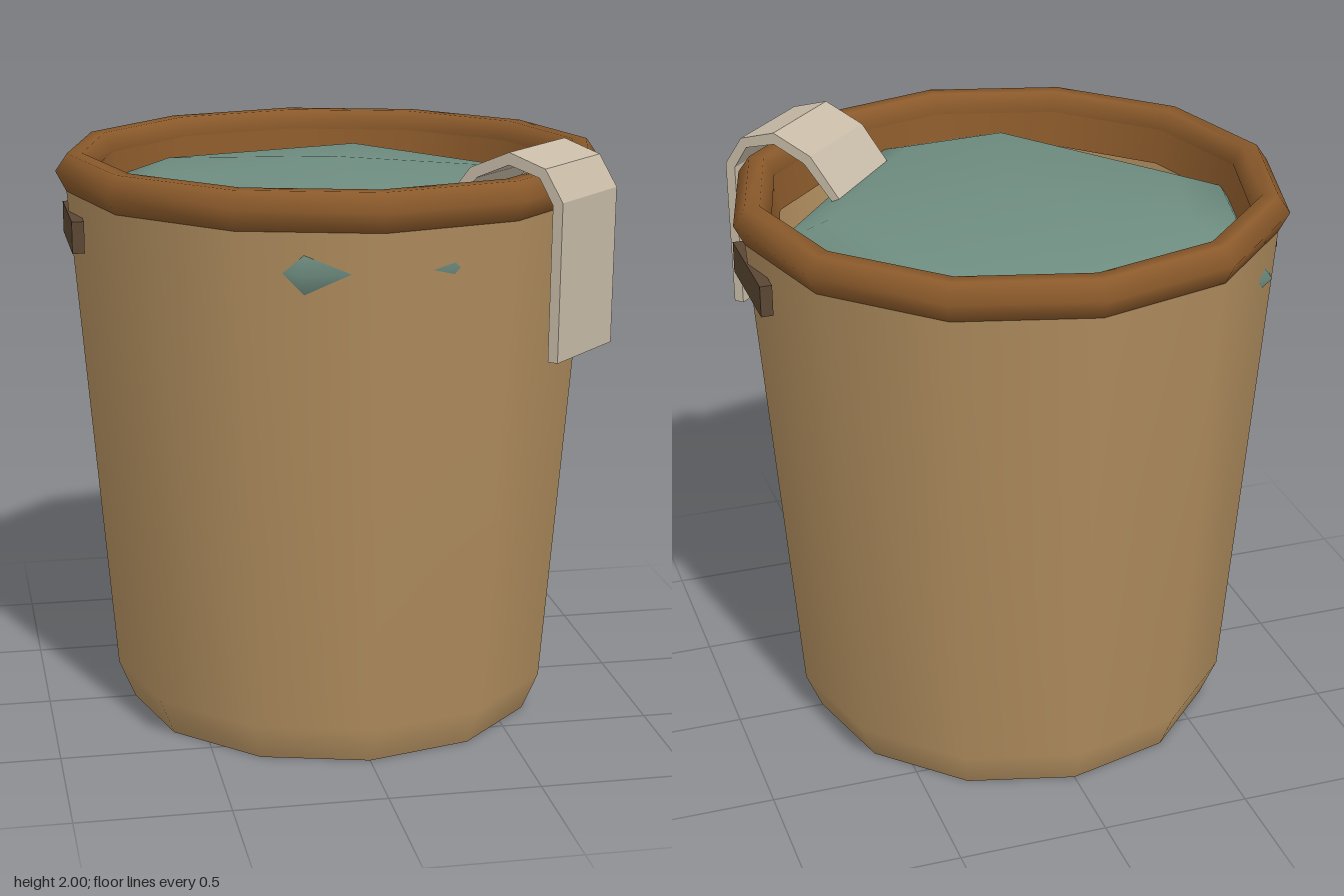
import * as THREE from 'three';
import { mergeVertices } from 'three/addons/utils/BufferGeometryUtils.js';

const SIDES = 12;

function material(name, color, side = THREE.FrontSide) {
  const m = new THREE.MeshStandardMaterial({ color, side });
  m.name = name;
  return m;
}

function lathe(points) {
  return new THREE.LatheGeometry(points.map(([r, y]) => new THREE.Vector2(r, y)), SIDES);
}

// Lumpy cushion of cloth: one uneven outline, scaled ring by ring
function clothGeometry() {
  const outline = [[0.87, 0.03], [0.24, 0.83], [-0.25, 0.865], [-0.86, 0.06], [-0.725, -0.515], [0.26, -0.79]];
  const rings = [[0, 1.89], [0.7, 1.84], [0.91, 1.77], [1, 1.67], [0.9, 1.56], [0.65, 1.48], [0, 1.44]];
  const n = outline.length;
  const positions = [];
  const index = [];
  rings.forEach(([s, y]) => outline.forEach(([x, z]) => positions.push(x * s, y, z * s)));
  for (let k = 0; k < rings.length - 1; k++) {
    for (let i = 0; i < n; i++) {
      const a = k * n + i, b = k * n + (i + 1) % n, c = a + n, d = b + n;
      if (k > 0) index.push(a, b, c);
      if (k < rings.length - 2) index.push(b, d, c);
      else index.splice(index.length, 0);
    }
  }
  const g = new THREE.BufferGeometry();
  g.setAttribute('position', new THREE.Float32BufferAttribute(positions, 3));
  g.setIndex(index);
  const merged = mergeVertices(g);
  merged.computeVertexNormals();
  return merged;
}

// Folded strip draped over the rim, profile in radius and height
function towelGeometry() {
  const outer = [[0.98, 1.35], [0.985, 1.86], [0.92, 1.96], [0.79, 2.0], [0.65, 1.94], [0.53, 1.79]];
  const inner = [[0.56, 1.78], [0.675, 1.91], [0.79, 1.96], [0.9, 1.93], [0.95, 1.85], [0.945, 1.35]];
  const shape = new THREE.Shape([...outer, ...inner].map(([r, y]) => new THREE.Vector2(r, y)));
  const width = 0.35;
  const g = new THREE.ExtrudeGeometry(shape, { depth: width, bevelEnabled: false });
  g.translate(0, 0, -width / 2);
  return g;
}

export function createModel() {
  const group = new THREE.Group();
  const wall = material('tan wall', 0xb08d5e, THREE.DoubleSide);
  const trim = material('brown rim', 0x8b5a2b, THREE.DoubleSide);
  const cloth = material('teal cloth', 0x6e8c80);
  const linen = material('pale linen', 0xc8bca8);
  const dark = material('dark grip', 0x5a4632);

  const add = (name, geometry, mat) => {
    const mesh = new THREE.Mesh(geometry, mat);
    mesh.name = name;
    group.add(mesh);
    return mesh;
  };

  // Tapered open basket
  add('basketWall', lathe([[0.7, 0], [0.755, 0.13], [0.893, 1.84]]), wall);

  // Rolled rim and the lip inside it
  add('rim', lathe([
    [0.83, 1.8], [0.89, 1.8], [0.925, 1.868], [0.885, 1.925],
    [0.835, 1.925], [0.8, 1.868], [0.83, 1.8],
  ]), trim);
  add('innerLip', lathe([[0.785, 1.74], [0.805, 1.87]]), trim);

  // Contents
  add('clothPile', clothGeometry(), cloth);

  // Towel hanging over the front corner
  add('towel', towelGeometry(), linen).rotation.y = -Math.PI / 4;

  // Grip panels on both sides
  for (const side of [-1, 1]) {
    const grip = add(side > 0 ? 'leftGrip' : 'rightGrip', new THREE.BoxGeometry(0.04, 0.105, 0.38), dark);
    grip.position.set(side * 0.87, 1.68, 0);
  }
  return group;
}
